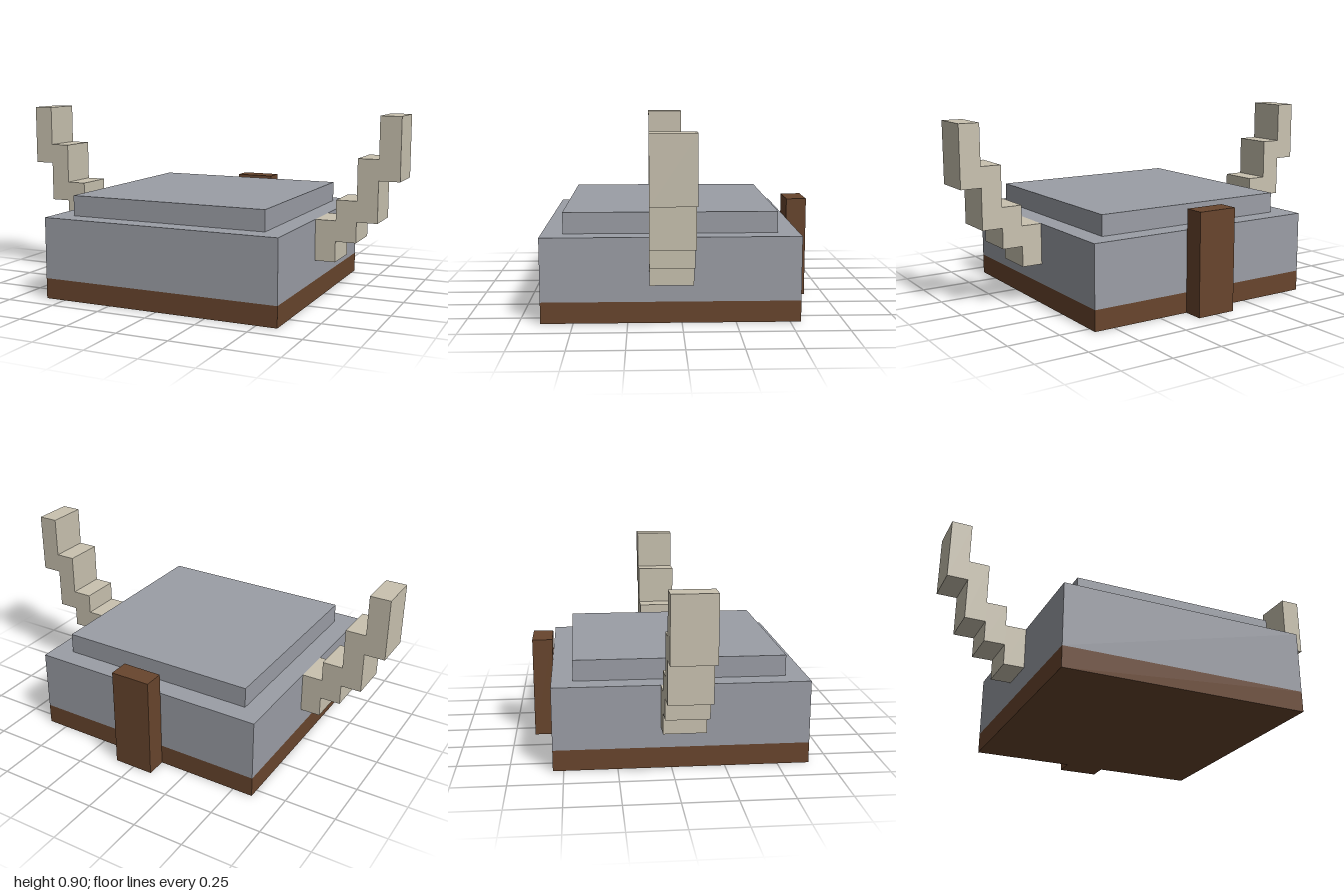
import * as THREE from 'three';

const material = (name, color) => {
  const m = new THREE.MeshStandardMaterial({ color });
  m.name = name;
  return m;
};

// Box given by its minimum and maximum corners
function block(name, mat, [x0, y0, z0], [x1, y1, z1]) {
  const mesh = new THREE.Mesh(new THREE.BoxGeometry(x1 - x0, y1 - y0, z1 - z0), mat);
  mesh.position.set((x0 + x1) / 2, (y0 + y1) / 2, (z0 + z1) / 2);
  mesh.name = name;
  return mesh;
}

export function createModel() {
  const steel = material('steel grey', 0x9b9ea6);
  const leather = material('leather brown', 0x68452d);
  const bone = material('bone', 0xc9c2b0);

  const helmet = new THREE.Group();
  helmet.name = 'hornedHelmet';

  // Brim, shell, raised crown and rear strap
  helmet.add(
    block('brim', leather, [-0.6, 0, -0.55], [0.6, 0.1, 0.65]),
    block('shell', steel, [-0.6, 0.1, -0.55], [0.6, 0.4, 0.65]),
    block('crown', steel, [-0.5, 0.4, -0.45], [0.5, 0.5, 0.55]),
    block('rearStrap', leather, [-0.1, 0, -0.65], [0.1, 0.5, -0.55])
  );

  // Stepped horns: bottom and top of each segment, working outwards
  const steps = [[0.2, 0.4], [0.3, 0.5], [0.4, 0.7], [0.6, 0.9]];
  for (const [name, side] of [['leftHorn', 1], ['rightHorn', -1]]) {
    const horn = new THREE.Group();
    horn.name = name;
    steps.forEach(([y0, y1], i) => {
      const inner = 0.6 + i * 0.1;
      const segment = block(`hornSegment${i + 1}`, bone, [inner, y0, -0.05], [inner + 0.1, y1, 0.15]);
      segment.position.x *= side;
      horn.add(segment);
    });
    helmet.add(horn);
  }

  return helmet;
}
